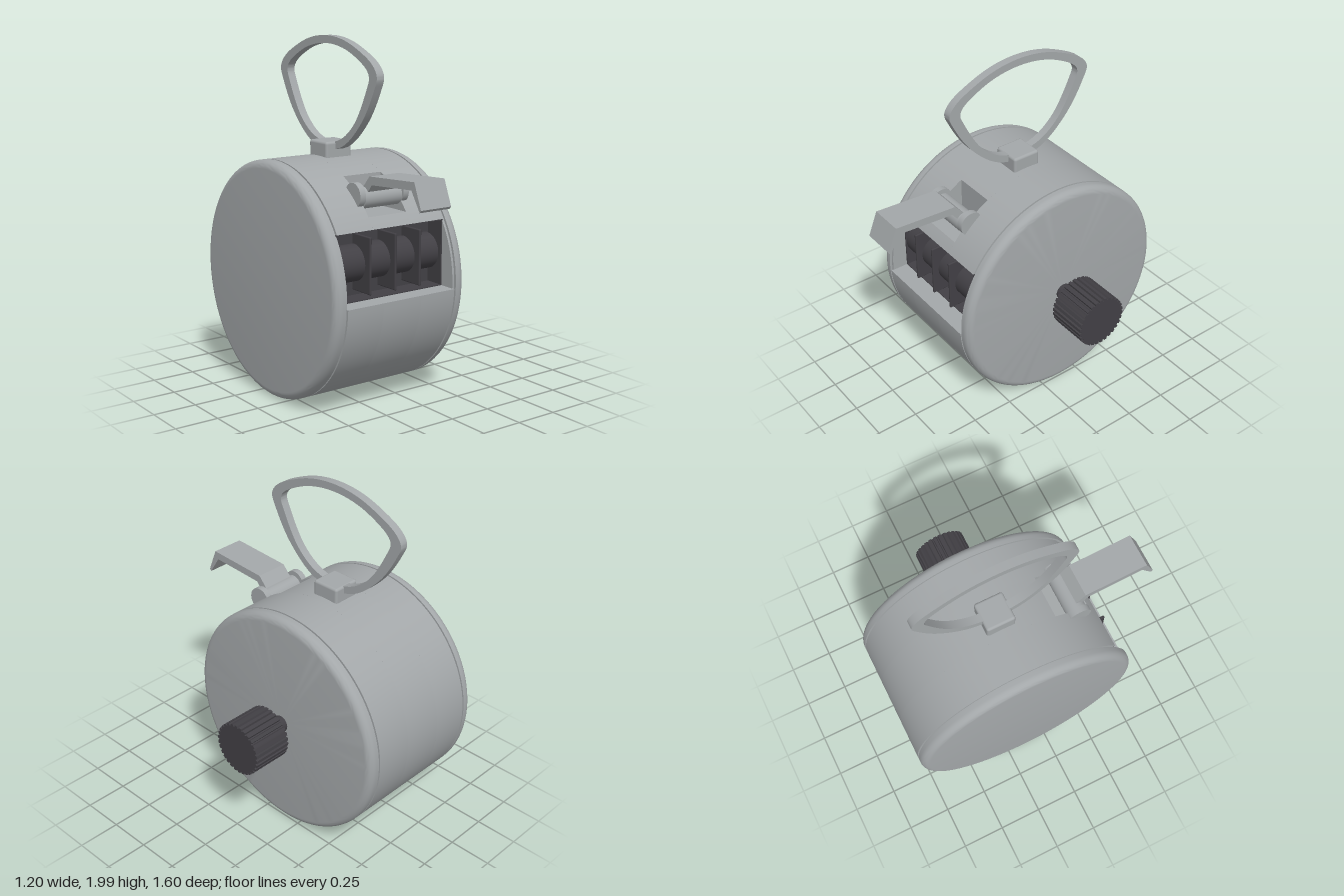
import * as THREE from 'three';
import { toCreasedNormals } from 'three/addons/utils/BufferGeometryUtils.js';
import { RoundedBoxGeometry } from 'three/addons/geometries/RoundedBoxGeometry.js';

const CY = 0.673, CZ = -0.13, R = 0.667; // drum axis and radius
const MID = -0.17;                       // x of ring, lever and counter centre

const steel = new THREE.MeshStandardMaterial({ color: 0xa3a7a9 });
steel.name = 'steel grey';
const dark = new THREE.MeshStandardMaterial({ color: 0x424045 });
dark.name = 'dark plastic';

export function createModel() {
  const model = new THREE.Group();
  model.name = 'tallyCounter';

  const add = (name, geometry, material = steel) => {
    const mesh = new THREE.Mesh(geometry, material);
    mesh.name = name;
    model.add(mesh);
    return mesh;
  };

  const box = (name, x0, x1, y0, y1, z0, z1, material, radius = 0) => {
    const size = [x1 - x0, y1 - y0, z1 - z0];
    const g = radius ? new RoundedBoxGeometry(...size, 3, radius) : new THREE.BoxGeometry(...size);
    g.translate((x0 + x1) / 2, (y0 + y1) / 2, (z0 + z1) / 2);
    return add(name, g, material);
  };

  // Side profile of [z, y] points, extruded along x
  const toShape = (pts) => new THREE.Shape(pts.map(([z, y]) => new THREE.Vector2(-z, y)));
  const extrudeX = (name, pts, x0, x1, material, hole) => {
    const shape = toShape(pts);
    if (hole) shape.holes.push(toShape(hole));
    const g = new THREE.ExtrudeGeometry(shape, { depth: x1 - x0, bevelEnabled: false });
    g.rotateY(Math.PI / 2).translate(x0, 0, 0);
    return add(name, toCreasedNormals(g, 0.5), material);
  };

  // Cylinder lying along x
  const rod = (name, r, x0, x1, y, z, material) => {
    const g = new THREE.CylinderGeometry(r, r, x1 - x0, 40).rotateZ(-Math.PI / 2);
    return add(name, g.translate((x0 + x1) / 2, y, z), material);
  };

  // Shell: round section with a window notch; the middle slice also has a hinge notch
  const arc = (a0, a1, n) => Array.from({ length: n + 1 }, (_, i) => {
    const a = a0 + (a1 - a0) * i / n;
    return [CZ + R * Math.cos(a), CY + R * Math.sin(a)];
  });
  const winLow = Math.PI * 2 - 0.042, winHigh = 0.547, slotLow = 0.656, slotHigh = 1.099;
  const windowNotch = [[0.3, 0.645], [0.3, 1.02]];
  const plain = [...arc(winHigh, winLow, 120), ...windowNotch];
  const slotted = [
    ...arc(winHigh, slotLow, 3), [0.175, 1.08],
    ...arc(slotHigh, winLow, 108), ...windowNotch,
  ];
  extrudeX('shellRight', plain, -0.525, -0.295);
  extrudeX('shellMiddle', slotted, -0.295, -0.045);
  extrudeX('shellLeft', plain, -0.045, 0.185);

  // End caps with a rounded rim and a thin groove next to the shell
  const profile = [[0, -0.6], [R - 0.045, -0.6]];
  for (let i = 1; i <= 8; i++) {
    const a = (i / 8) * Math.PI / 2;
    profile.push([R - 0.045 + 0.045 * Math.sin(a), -0.555 - 0.045 * Math.cos(a)]);
  }
  profile.push([R, -0.535], [R - 0.014, -0.535], [R - 0.014, -0.522], [0, -0.522]);
  const mirrored = profile.map(([r, x]) => [r, -0.34 - x]).reverse();
  [['capRight', profile], ['capLeft', mirrored]].forEach(([name, pts]) => {
    const g = new THREE.LatheGeometry(pts.map(([r, x]) => new THREE.Vector2(r, x)), 120);
    g.rotateZ(-Math.PI / 2).translate(0, CY, CZ);
    add(name, toCreasedNormals(g, 0.5));
  });

  // Dark lining of the counter window
  box('windowBack', -0.522, 0.182, 0.645, 1.02, 0.29, 0.32, dark);
  box('windowFloor', -0.522, 0.182, 0.64, 0.65, 0.3, 0.43, dark);
  box('windowCeiling', -0.522, 0.182, 1.012, 1.022, 0.3, 0.43, dark);
  box('windowSideRight', -0.526, -0.514, 0.645, 1.02, 0.3, 0.43, dark);
  box('windowSideLeft', 0.174, 0.186, 0.645, 1.02, 0.3, 0.43, dark);

  // Four number wheels and the dividers between them
  for (let i = 0; i < 4; i++) {
    const x = MID + (i - 1.5) * 0.165;
    rod('numberWheel', 0.1, x - 0.071, x + 0.071, 0.835, 0.34, dark);
    if (i < 3) box('wheelDivider', x + 0.075, x + 0.09, 0.68, 0.99, 0.31, 0.475, dark, 0.006);
  }

  // Hinge barrel with an ear at each end
  rod('hingeBarrel', 0.06, MID - 0.12, MID + 0.12, 1.17, 0.31);
  for (const s of [-1, 1]) {
    const x = MID + s * 0.143;
    rod('hingeEar', 0.069, x - 0.018, x + 0.018, 1.185, 0.308);
  }

  // Bent thumb lever
  extrudeX('thumbLever', [
    [0.29, 1.2], [0.37, 1.29], [0.745, 1.312], [0.8, 1.175], [0.79, 1.162],
    [0.722, 1.267], [0.39, 1.246], [0.33, 1.17],
  ].reverse(), MID - 0.098, MID + 0.098);

  // Finger ring: half outlines as [offset from centre, y], mirrored into closed curves
  const loop = (half) => {
    const back = half.slice(1, -1).reverse().map(([d, y]) => [-d, y]);
    const pts = [...half, ...back].map(([d, y]) => new THREE.Vector3(CZ + d, y, 0));
    return new THREE.CatmullRomCurve3(pts, true, 'centripetal')
      .getPoints(112).slice(0, -1).map((p) => [p.x, p.y]);
  };
  const outer = loop([[0, 2], [0.14, 1.986], [0.27, 1.945], [0.425, 1.862], [0.465, 1.8],
    [0.44, 1.727], [0.33, 1.55], [0.16, 1.405], [0, 1.37]]);
  const inner = loop([[0, 1.957], [0.12, 1.946], [0.24, 1.91], [0.375, 1.832], [0.396, 1.79],
    [0.375, 1.73], [0.265, 1.54], [0.14, 1.442], [0, 1.412]]);
  extrudeX('fingerRing', outer, MID - 0.024, MID + 0.024, steel, inner);
  box('ringMount', MID - 0.085, MID + 0.085, 1.3, 1.422, CZ - 0.085, CZ + 0.085, steel, 0.015);

  // Reset knob with a knurled grip on a short shaft
  rod('knobShaft', 0.048, 0.25, 0.37, CY, CZ, dark);
  const grip = [];
  const teeth = 30;
  for (let i = 0; i < teeth; i++) {
    [[0, 0.155], [0.55, 0.155], [0.65, 0.143], [0.9, 0.143]].forEach(([t, r]) => {
      const a = (i + t) / teeth * Math.PI * 2;
      grip.push([CZ + r * Math.cos(a), CY + r * Math.sin(a)]);
    });
  }
  extrudeX('resetKnob', grip, 0.36, 0.597, dark);

  return model;
}
